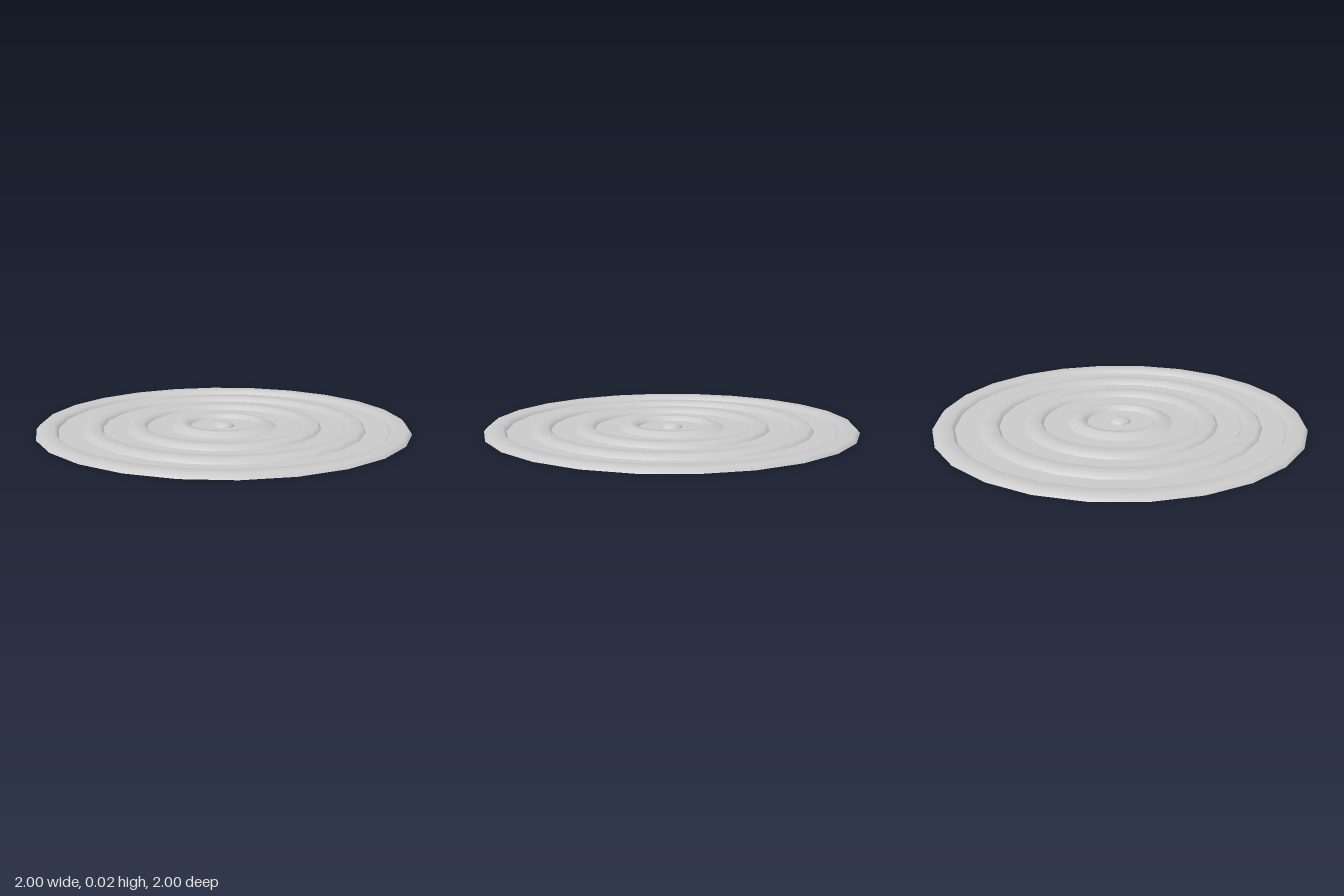
import * as THREE from 'three';

const SEGMENTS = 24;
const HEIGHT = 0.022;
const material = new THREE.MeshStandardMaterial({ color: 0xcccccc, side: THREE.DoubleSide });

// Revolve a profile of [radius, height] pairs, listed from outside to inside
function revolve(name, profile) {
  const points = profile.map(([r, y]) => new THREE.Vector2(r, y));
  const mesh = new THREE.Mesh(new THREE.LatheGeometry(points, SEGMENTS), material);
  mesh.name = name;
  return mesh;
}

// Raised ripple: bevelled edges around a flat crest, softened by smooth normals
function ripple(name, inner, outer, outerBevel = 0.02) {
  return revolve(name, [
    [outer, 0],
    [outer - outerBevel, HEIGHT],
    [inner + 0.02, HEIGHT],
    [inner, 0],
  ]);
}

export function createModel() {
  const group = new THREE.Group();
  group.name = 'rippleDisc';

  // Ripples from the rim inwards, each with the flat trough inside it
  const rings = [[0.883, 1], [0.648, 0.763], [0.413, 0.528], [0.178, 0.285]];
  rings.forEach(([inner, outer], i) => {
    const innermost = i === rings.length - 1;
    const next = innermost ? 0.058 : rings[i + 1][1];
    group.add(ripple(`ripple${i + 1}`, inner, outer, innermost ? 0.05 : 0.02));
    group.add(revolve(`trough${i + 1}`, [[inner, 0], [next, 0]]));
  });

  // Small droplet dome in the middle
  const dome = [];
  for (let i = 0; i <= 5; i++) {
    const a = (i / 5) * Math.PI / 2;
    dome.push([i === 5 ? 0 : 0.058 * Math.cos(a), HEIGHT * Math.sin(a)]);
  }
  group.add(revolve('centreDroplet', dome));

  return group;
}
